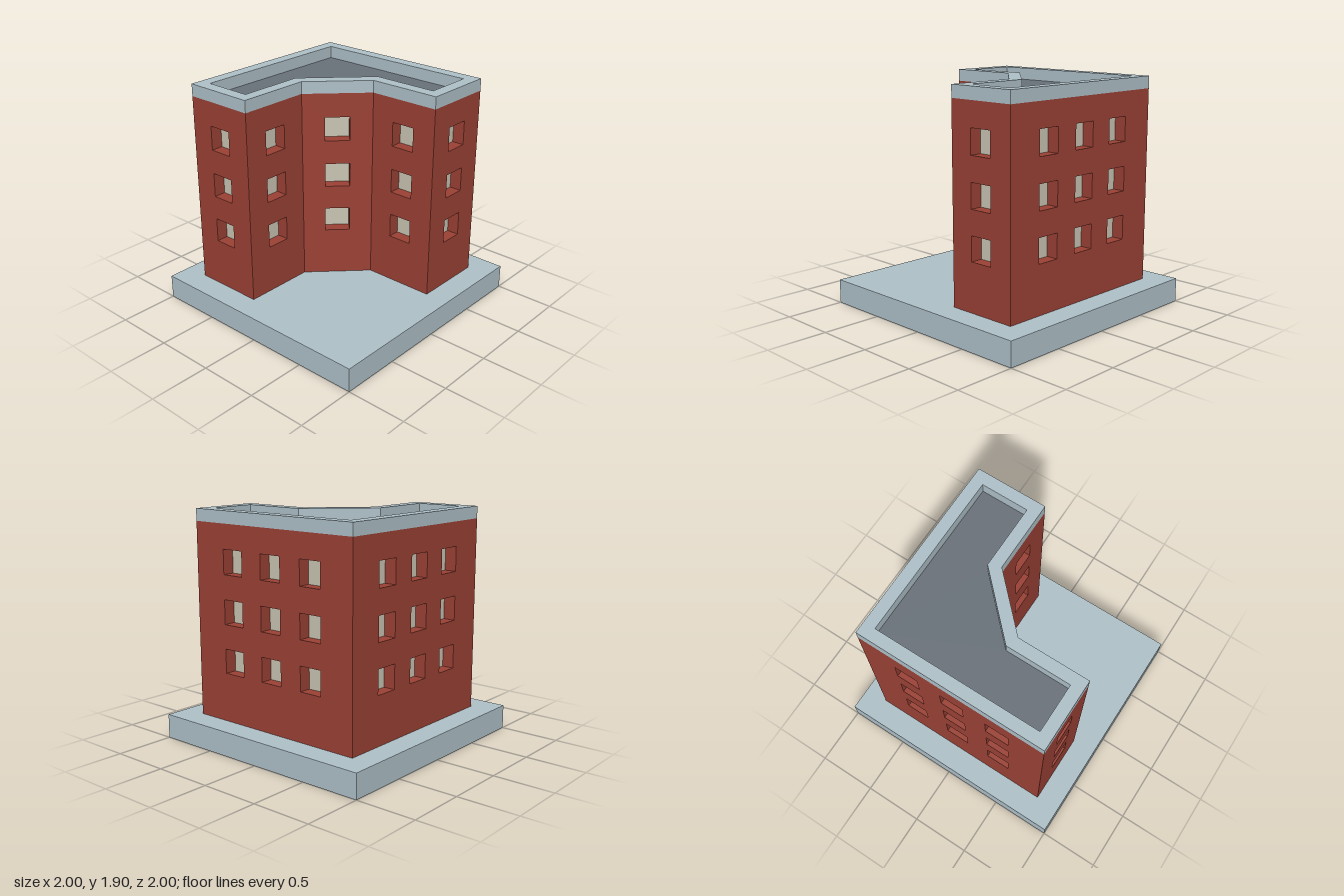
import * as THREE from 'three';

const mat = (name, color, side = THREE.FrontSide) => {
  const m = new THREE.MeshStandardMaterial({ color, side });
  m.name = name;
  return m;
};

// Footprint corners [x, z], walked so each wall runs left to right seen from outside
const footprint = [[-0.8, 0.8], [-0.2, 0.8], [-0.2, 0.2], [0.2, -0.2], [0.8, -0.2], [0.8, -0.8], [-0.8, -0.8]];
const roofEdge = [[-0.7, 0.7], [-0.3, 0.7], [-0.3, 0.16], [0.16, -0.3], [0.7, -0.3], [0.7, -0.7], [-0.7, -0.7]];

const BASE = 0.2, TOP = 1.8, WIN = 0.2, DEPTH = 0.1;
const floors = [0.7, 1.1, 1.5];

const planPoints = (corners) => corners.map(([x, z]) => new THREE.Vector2(x, -z));

export function createModel() {
  const stone = mat('paleStone', 0xafc1c9, THREE.DoubleSide);
  const brick = mat('redBrick', 0x9b4135);
  const glass = mat('paleGlass', 0xc9c5b4);
  const roofing = mat('greyRoofing', 0x6a727a);

  const model = new THREE.Group();
  model.name = 'cornerBuilding';

  const add = (parent, name, geometry, material) => {
    const mesh = new THREE.Mesh(geometry, material);
    mesh.name = name;
    parent.add(mesh);
    return mesh;
  };

  // Base slab: a shell open underneath
  const slab = new THREE.BoxGeometry(2, BASE, 2);
  const index = Array.from(slab.index.array);
  index.splice(18, 6);
  slab.setIndex(index);
  slab.clearGroups();
  add(model, 'baseSlab', slab, stone).position.y = BASE / 2;

  // Recessed window: pane at the back and four reveals
  const addWindow = (parent, x, y, leftMaterial) => {
    const win = new THREE.Group();
    win.name = 'window';
    win.position.set(x, y, 0);
    parent.add(win);
    add(win, 'windowPane', new THREE.PlaneGeometry(WIN, WIN), glass).position.z = -DEPTH;
    const h = WIN / 2, d = -DEPTH / 2;
    const side = (name, material, px, py, rx, ry) => {
      const geo = rx ? new THREE.PlaneGeometry(WIN, DEPTH) : new THREE.PlaneGeometry(DEPTH, WIN);
      const mesh = add(win, name, geo, material);
      mesh.position.set(px, py, d);
      mesh.rotation.set(rx, ry, 0);
    };
    side('leftReveal', leftMaterial, -h, 0, 0, Math.PI / 2);
    side('rightReveal', brick, h, 0, 0, -Math.PI / 2);
    side('windowSill', brick, 0, -h, -Math.PI / 2, 0);
    side('windowHead', brick, 0, h, Math.PI / 2, 0);
  };

  // Walls: one pierced sheet per footprint edge
  footprint.forEach(([ax, az], i) => {
    const [bx, bz] = footprint[(i + 1) % footprint.length];
    const dx = bx - ax, dz = bz - az;
    const half = Math.hypot(dx, dz) / 2;
    const diagonal = Math.abs(dx * dz) > 0.01;
    const columns = half > 0.7 ? [-0.4, 0, 0.4] : [0];

    const wall = new THREE.Group();
    wall.name = diagonal ? 'diagonalWall' : 'wall';
    wall.position.set((ax + bx) / 2, 0, (az + bz) / 2);
    wall.rotation.y = Math.atan2(-dz, dx);
    model.add(wall);

    const rect = (l, r, b, t) => [[l, b], [r, b], [r, t], [l, t]].map(([x, y]) => new THREE.Vector2(x, y));
    const shape = new THREE.Shape(rect(-half, half, BASE, TOP));
    for (const x of columns) {
      for (const y of floors) {
        const h = WIN / 2;
        shape.holes.push(new THREE.Path(rect(x - h, x + h, y - h, y + h)));
        addWindow(wall, x, y, diagonal ? glass : brick);
      }
    }
    add(wall, 'wallFace', new THREE.ShapeGeometry(shape), brick);
  });

  // Parapet ring around the sunken roof
  const ring = new THREE.Shape(planPoints(footprint));
  ring.holes.push(new THREE.Path(planPoints(roofEdge)));
  const parapet = new THREE.ExtrudeGeometry(ring, { depth: 0.1, bevelEnabled: false });
  parapet.rotateX(-Math.PI / 2);
  add(model, 'parapet', parapet, stone).position.y = TOP;

  // Flat roof
  const roof = new THREE.ShapeGeometry(new THREE.Shape(planPoints(roofEdge)));
  roof.rotateX(-Math.PI / 2);
  add(model, 'roof', roof, roofing).position.y = TOP;

  return model;
}
